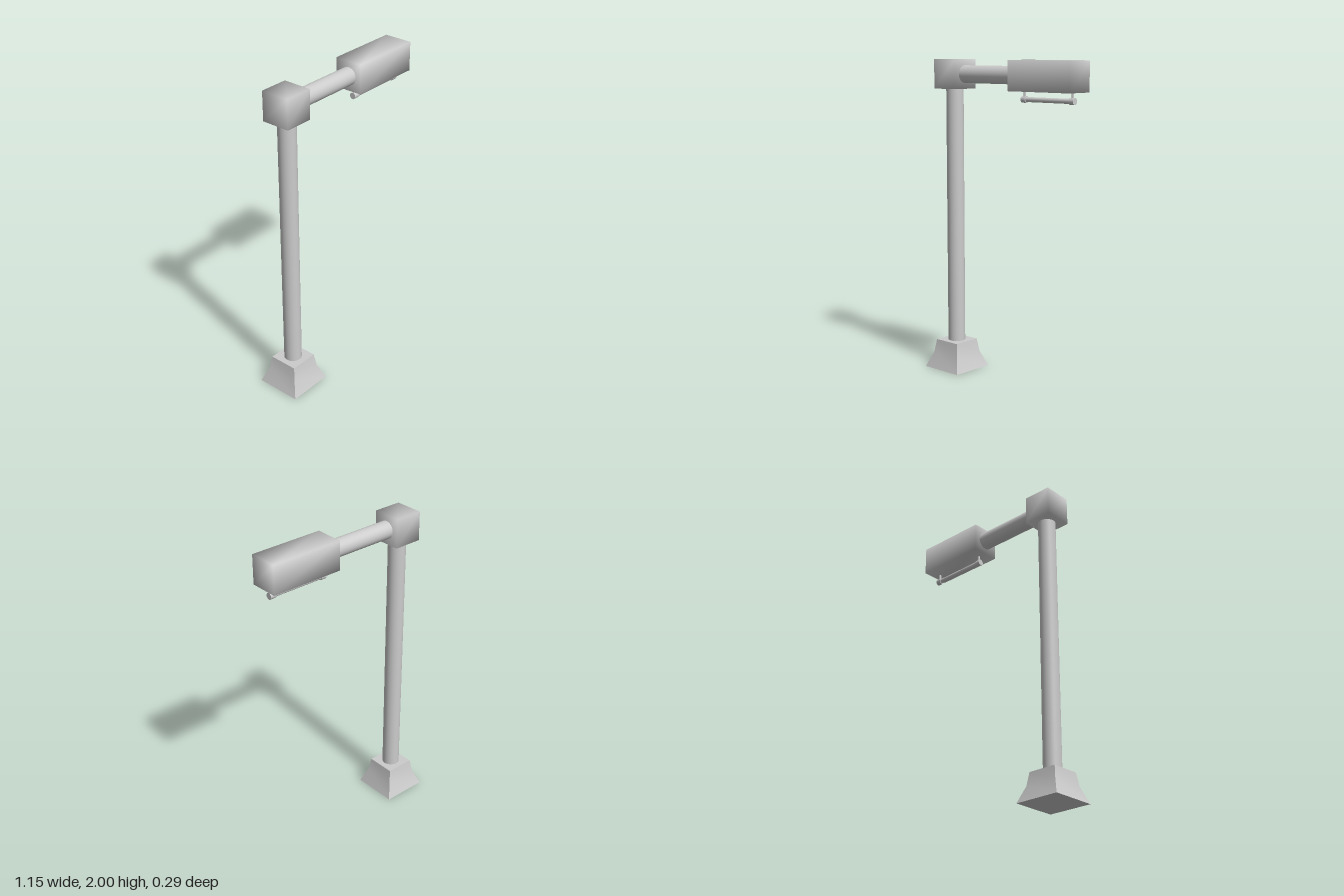
import * as THREE from 'three';
import { mergeVertices, toCreasedNormals } from 'three/addons/utils/BufferGeometryUtils.js';

const POST_X = -0.43, ARM_Y = 1.909, BOX = 0.183;

export function createModel() {
  const model = new THREE.Group();
  model.name = 'streetLamp';
  const material = new THREE.MeshStandardMaterial({ color: 0xcccccc });

  function add(name, geometry, x, y, z = 0, parent = model) {
    const mesh = new THREE.Mesh(geometry, material);
    mesh.name = name;
    mesh.position.set(x, y, z);
    parent.add(mesh);
    return mesh;
  }

  // Box whose corners share one normal, giving soft shading over the faces
  function softBox(w, h, d) {
    const box = new THREE.BoxGeometry(w, h, d);
    box.deleteAttribute('normal');
    box.deleteAttribute('uv');
    const soft = mergeVertices(box);
    soft.computeVertexNormals();
    return soft;
  }

  // Cylinder lying along x
  const rodX = (radius, length, sides = 32) =>
    new THREE.CylinderGeometry(radius, radius, length, sides).rotateZ(Math.PI / 2);

  // Flared square foot: half widths at rising heights
  const profile = [[0, 0], [0.145, 0], [0.105, 0.1], [0.092, 0.183], [0, 0.183]]
    .map(([half, y]) => new THREE.Vector2(half * Math.SQRT2, y));
  const foot = new THREE.LatheGeometry(profile, 4, Math.PI / 4);
  add('foot', toCreasedNormals(foot, Math.PI / 6), POST_X, 0);

  // Post, corner joint and horizontal arm
  add('post', new THREE.CylinderGeometry(0.055, 0.055, 1.66, 32), POST_X, 1.0);
  add('cornerJoint', softBox(BOX, BOX, BOX), POST_X, ARM_Y);
  add('arm', rodX(0.055, 0.46), -0.118, ARM_Y);

  // Lamp head
  add('lampHead', softBox(0.473, BOX, BOX), 0.338, ARM_Y);

  // Tube light hanging from two holders
  const light = new THREE.Group();
  light.name = 'tubeLight';
  model.add(light);
  add('tube', rodX(0.015, 0.37, 24), 0.342, 1.768, 0, light);
  for (const x of [0.159, 0.525]) {
    add('holderCap', rodX(0.02, 0.034, 24), x, 1.768, 0, light);
    add('holderStem', new THREE.CylinderGeometry(0.008, 0.008, 0.055, 16), x, 1.801, 0, light);
  }
  return model;
}
